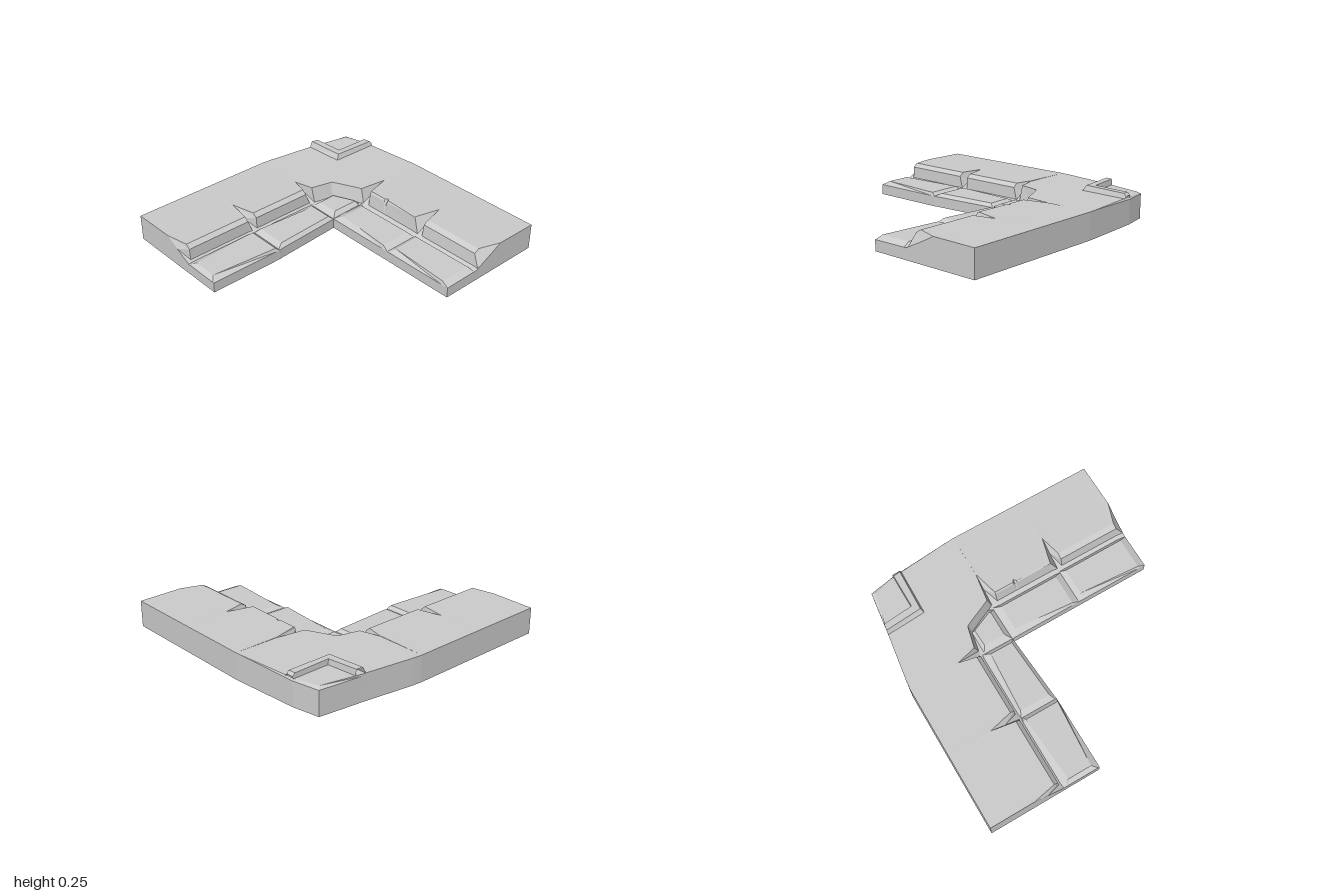
import * as THREE from 'three';

const material = new THREE.MeshStandardMaterial({
  color: 0xcccccc, flatShading: true, side: THREE.DoubleSide,
});

function meshFrom(name, positions) {
  const geometry = new THREE.BufferGeometry();
  geometry.setAttribute('position', new THREE.Float32BufferAttribute(positions, 3));
  geometry.computeVertexNormals();
  const mesh = new THREE.Mesh(geometry, material);
  mesh.name = name;
  return mesh;
}

// Skin between successive cross-sections; capAxis closes both ends,
// the open underside stays hollow.
function loft(name, sections, capAxis, closed = false) {
  const out = [];
  for (let i = 0; i < sections.length - 1; i++) {
    const p = sections[i], q = sections[i + 1];
    const n = closed ? p.length : p.length - 1;
    for (let j = 0; j < n; j++) {
      const k = (j + 1) % p.length;
      out.push(...p[j], ...p[k], ...q[k], ...p[j], ...q[k], ...q[j]);
    }
  }
  if (capAxis !== undefined) {
    for (const s of [sections[0], sections[sections.length - 1]]) {
      const flat = s.map((v) => new THREE.Vector2(v[capAxis], v[1]));
      for (const f of THREE.ShapeUtils.triangulateShape(flat, [])) {
        f.forEach((k) => out.push(...s[k]));
      }
    }
  }
  return meshFrom(name, out);
}

// Profile of an arm: outer wall, upper slab, step wall, groove, lower stone, front lip.
function profile(outer, s, lip) {
  return [
    [outer, 0], [outer, 0.2], [s.shoulder, 0.203], [s.edge, s.edgeY], [s.wall, 0.09],
    [s.groove, 0.08], [s.back, s.stoneY], [s.front, s.stoneY - 0.003], [lip, 0.078], [lip, 0],
  ];
}

// Full stone section and the V-shaped joint between neighbouring stones.
const stone = (shoulder, edge, edgeY, wall, groove, back, front) =>
  ({ shoulder, edge, edgeY, wall, groove, back, front, stoneY: 0.105 });
const joint = (tip, wall, groove, lip) => ({
  shoulder: tip, edge: (tip + wall) / 2, edgeY: 0.145, wall, groove,
  back: groove + 0.01, front: lip - 0.012, stoneY: 0.082,
});

export function createModel() {
  const group = new THREE.Group();
  group.name = 'cornerLedge';

  // Back arm, running along x
  const xJoint = joint(-0.66, -0.435, -0.41, -0.13);
  const xStone1 = (front, edgeY) => stone(-0.465, -0.455, edgeY, -0.44, -0.405, -0.38, front);
  const xStone2 = (front) => stone(-0.495, -0.455, 0.18, -0.44, -0.41, -0.385, front);
  const nick = stone(-0.485, -0.46, 0.17, -0.44, -0.405, -0.38, -0.165);
  const backStations = [
    [-0.155, xJoint], [-0.105, xStone1(-0.18, 0.185)], [0.045, xStone1(-0.167, 0.19)],
    [0.06, nick], [0.075, xStone1(-0.165, 0.19)], [0.36, xStone1(-0.14, 0.2)],
    [0.41, xJoint], [0.45, xStone2(-0.175)], [0.93, xStone2(-0.14)], [0.985, xJoint],
  ];
  group.add(loft('backArm',
    backStations.map(([x, s]) => profile(-1, s, -0.13).map(([z, y]) => [x, y, z])), 2));

  // Side arm, running along z
  const zJoint = (tip, lip) => joint(tip, -0.425, -0.405, lip);
  const zStone = (back, front) => stone(-0.465, -0.433, 0.175, -0.428, -0.41, back, front);
  const sideStations = [
    [1, -0.115, zJoint(-0.64, -0.115)], [0.965, -0.115, zStone(-0.35, -0.165)],
    [0.45, -0.115, zStone(-0.385, -0.125)], [0.42, -0.115, zJoint(-0.65, -0.115)],
    [0.375, -0.12, zStone(-0.385, -0.15)], [-0.1, -0.153, zStone(-0.355, -0.18)],
    [-0.13, -0.155, zJoint(-0.6, -0.155)],
  ];
  group.add(loft('sideArm',
    sideStations.map(([z, lip, s]) => profile(-0.985, s, lip).map(([x, y]) => [x, y, z])), 0));

  // Corner slab: outer wall, top rim, step top, step foot, inner corner
  const cornerStations = [
    [[-0.985, -0.13], [-0.985, -0.13], [-0.6, -0.13], [-0.425, -0.13]],
    [[-0.978, -0.2], [-0.978, -0.2], [-0.445, -0.17], [-0.415, -0.17]],
    [[-0.92, -0.6], [-0.92, -0.6], [-0.405, -0.335], [-0.385, -0.32]],
    [[-0.88, -0.92], [-0.855, -0.9], [-0.4, -0.34], [-0.38, -0.325]],
    [[-0.68, -0.96], [-0.68, -0.95], [-0.37, -0.355], [-0.36, -0.335]],
    [[-0.2, -0.997], [-0.2, -0.997], [-0.185, -0.44], [-0.18, -0.42]],
    [[-0.155, -1], [-0.155, -1], [-0.155, -0.66], [-0.155, -0.435]],
  ];
  group.add(loft('cornerSlab', cornerStations.map(([wall, rim, top, foot]) => [
    [wall[0], 0, wall[1]], [wall[0], 0.185, wall[1]], [rim[0], 0.2, rim[1]],
    [top[0], 0.2, top[1]], [foot[0], 0.085, foot[1]], [-0.155, 0.08, -0.13],
  ])));

  // Small bevelled stone in the inner corner
  const foot = [[-0.395, -0.13], [-0.395, -0.32], [-0.2, -0.42], [-0.155, -0.4], [-0.155, -0.13]];
  const crown = [[-0.36, -0.18], [-0.365, -0.315], [-0.205, -0.385], [-0.195, -0.38], [-0.195, -0.18]];
  const ring = (points, y) => points.map(([x, z]) => [x, y, z]).reverse();
  const middle = crown.map(() => [-0.26, -0.26]);
  group.add(loft('cornerStone',
    [ring(foot, 0.078), ring(crown, 0.108), ring(middle, 0.108)], undefined, true));

  // Raised L-shaped rim on the outer corner
  const rimSection = (base, top, inner, floor, h) => [
    [base[0], 0.198, base[1]], [top[0], h, top[1]], [inner[0], h, inner[1]], [floor[0], 0.198, floor[1]],
  ];
  group.add(loft('raisedRim', [
    rimSection([-0.925, -0.57], [-0.922, -0.59], [-0.913, -0.64], [-0.912, -0.645], 0.245),
    rimSection([-0.62, -0.59], [-0.635, -0.615], [-0.68, -0.665], [-0.683, -0.67], 0.24),
    rimSection([-0.612, -0.95], [-0.625, -0.945], [-0.68, -0.94], [-0.683, -0.95], 0.235),
    rimSection([-0.612, -0.963], [-0.625, -0.963], [-0.68, -0.96], [-0.683, -0.96], 0.215),
  ]));

  return group;
}
